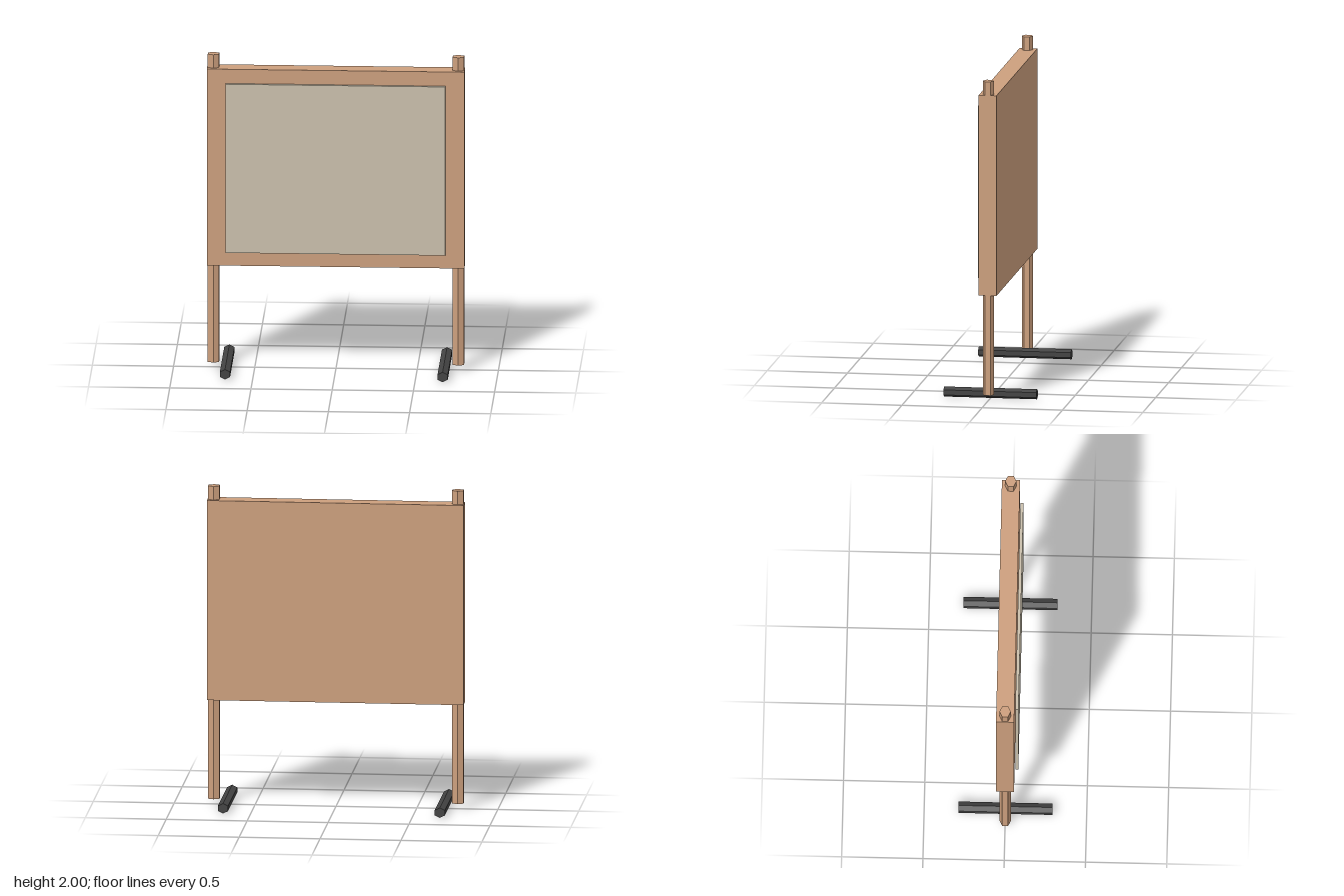
import * as THREE from 'three';

const mat = (name, color, flatShading = true) => {
  const m = new THREE.MeshStandardMaterial({ color, flatShading });
  m.name = name;
  return m;
};

export function createModel() {
  const wood = mat('wood', 0xcc9f7d);
  const paper = mat('paper', 0xcac0ac);
  const rubber = mat('dark rubber', 0x434343);
  const group = new THREE.Group();
  group.name = 'noticeBoard';

  const add = (name, geometry, material, x, y, z) => {
    const mesh = new THREE.Mesh(geometry, material);
    mesh.name = name;
    mesh.position.set(x, y, z);
    group.add(mesh);
  };

  // Hexagonal bar along y, with a ridge facing +z and -z
  const hexBar = (width, depth, length) =>
    new THREE.CylinderGeometry(1, 1, length, 6).scale(width / Math.sqrt(3), 1, depth / 2);

  // Board and the sheet fixed just in front of it
  add('board', new THREE.BoxGeometry(1.585, 1.253, 0.111), wood, 0, 1.2885, 0);
  add('sheet', new THREE.BoxGeometry(1.352, 1.076, 0.019), paper, 0, 1.288, 0.07);

  // Posts and ground bars on both sides
  for (const [side, s] of [['left', 1], ['right', -1]]) {
    add(side + 'Post', hexBar(0.07, 0.07, 1.964), wood, s * 0.754, 1.018, 0);
    add(side + 'Foot', hexBar(0.063, 0.063, 0.578).rotateX(Math.PI / 2), rubber, s * 0.67, 0.0315, 0);
  }
  return group;
}
